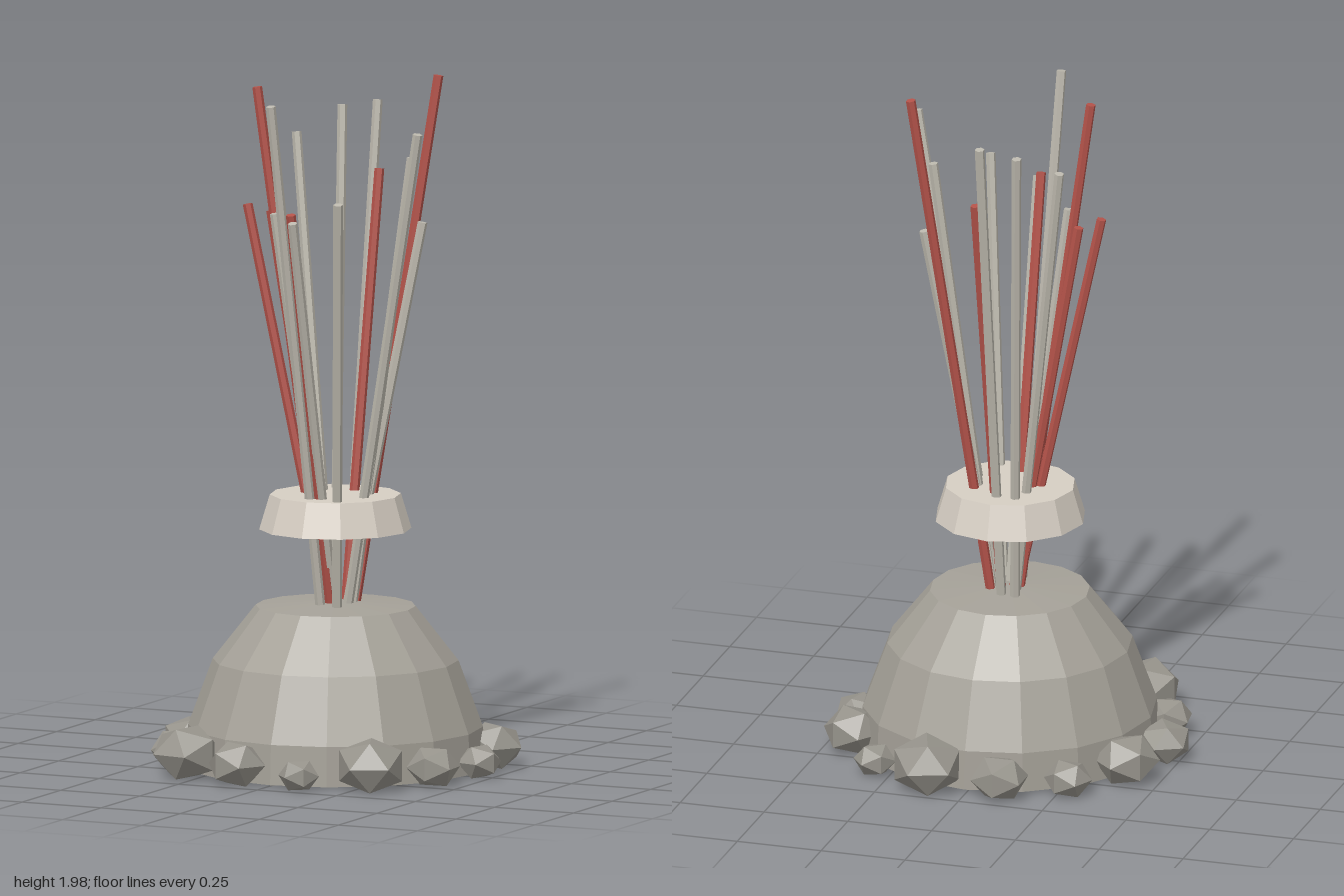
import * as THREE from 'three';

const mat = (name, color) => {
  const m = new THREE.MeshStandardMaterial({ color, flatShading: true });
  m.name = name;
  return m;
};

export function createModel() {
  const group = new THREE.Group();
  const domeGrey = mat('warm grey', 0xa5a198);
  const stoneGrey = mat('stone grey', 0x96938b);
  const paleBeige = mat('pale beige', 0xd6cec3);
  const poleGrey = mat('pole grey', 0xbdb9ae);
  const poleRed = mat('pole red', 0xb4534a);

  const add = (name, geometry, material, x = 0, y = 0, z = 0) => {
    const mesh = new THREE.Mesh(geometry, material);
    mesh.name = name;
    mesh.position.set(x, y, z);
    group.add(mesh);
    return mesh;
  };

  // Faceted dome with a closed base and an almost flat top
  const profile = [[0, 0.02], [0.425, 0.02], [0.42, 0.135], [0.35, 0.325], [0.228, 0.48], [0, 0.495]]
    .map(([r, y]) => new THREE.Vector2(r, y));
  add('dome', new THREE.LatheGeometry(profile, 16), domeGrey, 0.008, 0, 0.008);

  // Collar that binds the poles
  add('collar', new THREE.CylinderGeometry(0.187, 0.217, 0.1, 12), paleBeige, 0.006, 0.75, 0.006);

  // Ring of stones around the foot: x, z, radius
  const stones = [
    [-0.10, -0.43, 0.085], [0.115, -0.43, 0.11], [0.295, -0.355, 0.062], [0.41, -0.19, 0.09],
    [0.46, 0.005, 0.066], [0.41, 0.2, 0.078], [0.295, 0.37, 0.105], [0.105, 0.447, 0.06],
    [-0.095, 0.437, 0.087], [-0.285, 0.37, 0.105], [-0.4, 0.205, 0.075], [-0.455, 0.005, 0.08],
    [-0.405, -0.195, 0.095], [-0.28, -0.35, 0.07],
  ];
  stones.forEach(([x, z, r], i) => {
    const stone = add('stone', new THREE.IcosahedronGeometry(r, 0), stoneGrey, x, 0.015 + r * 0.68, z);
    stone.scale.y = 0.8;
    stone.rotation.y = i * 1.9;
  });

  // Poles: x and z at collar height, then the tip x, y, z
  const poles = [
    [poleGrey, -0.045, -0.107, -0.09, 1.88, -0.237],
    [poleGrey, 0.011, -0.107, 0.017, 1.9, -0.247],
    [poleRed, 0.025, -0.08, 0.045, 1.71, -0.2],
    [poleRed, 0.093, -0.06, 0.248, 1.995, -0.167],
    [poleGrey, 0.093, -0.035, 0.228, 1.58, -0.105],
    [poleGrey, 0.09, -0.03, 0.215, 1.77, -0.06],
    [poleGrey, 0.112, 0.037, 0.312, 1.865, 0.1],
    [poleGrey, 0.08, 0.145, 0.158, 1.68, 0.3],
    [poleGrey, 0.017, 0.115, 0.023, 1.62, 0.318],
    [poleRed, 0.008, 0.113, 0.006, 1.64, 0.295],
    [poleGrey, -0.017, 0.125, -0.05, 1.95, 0.31],
    [poleGrey, -0.045, 0.04, -0.135, 1.61, 0.11],
    [poleRed, -0.082, 0.017, -0.257, 1.62, 0.035],
    [poleRed, -0.06, 0.003, -0.2, 1.6, 0],
    [poleGrey, -0.06, -0.05, -0.185, 1.81, -0.135],
    [poleRed, -0.065, 0.015, -0.222, 1.96, 0.045],
  ];
  const up = new THREE.Vector3(0, 1, 0);
  for (const [material, x, z, tx, ty, tz] of poles) {
    const tip = new THREE.Vector3(tx, ty, tz);
    const collarPoint = new THREE.Vector3(x, 0.8, z);
    // Carry each line down into the dome top
    const base = tip.clone().lerp(collarPoint, (ty - 0.46) / (ty - 0.8));
    const axis = tip.clone().sub(base);
    const pole = add('pole', new THREE.CylinderGeometry(0.014, 0.014, axis.length(), 6), material);
    pole.position.copy(base).add(tip).multiplyScalar(0.5);
    pole.quaternion.setFromUnitVectors(up, axis.normalize());
  }

  return group;
}
